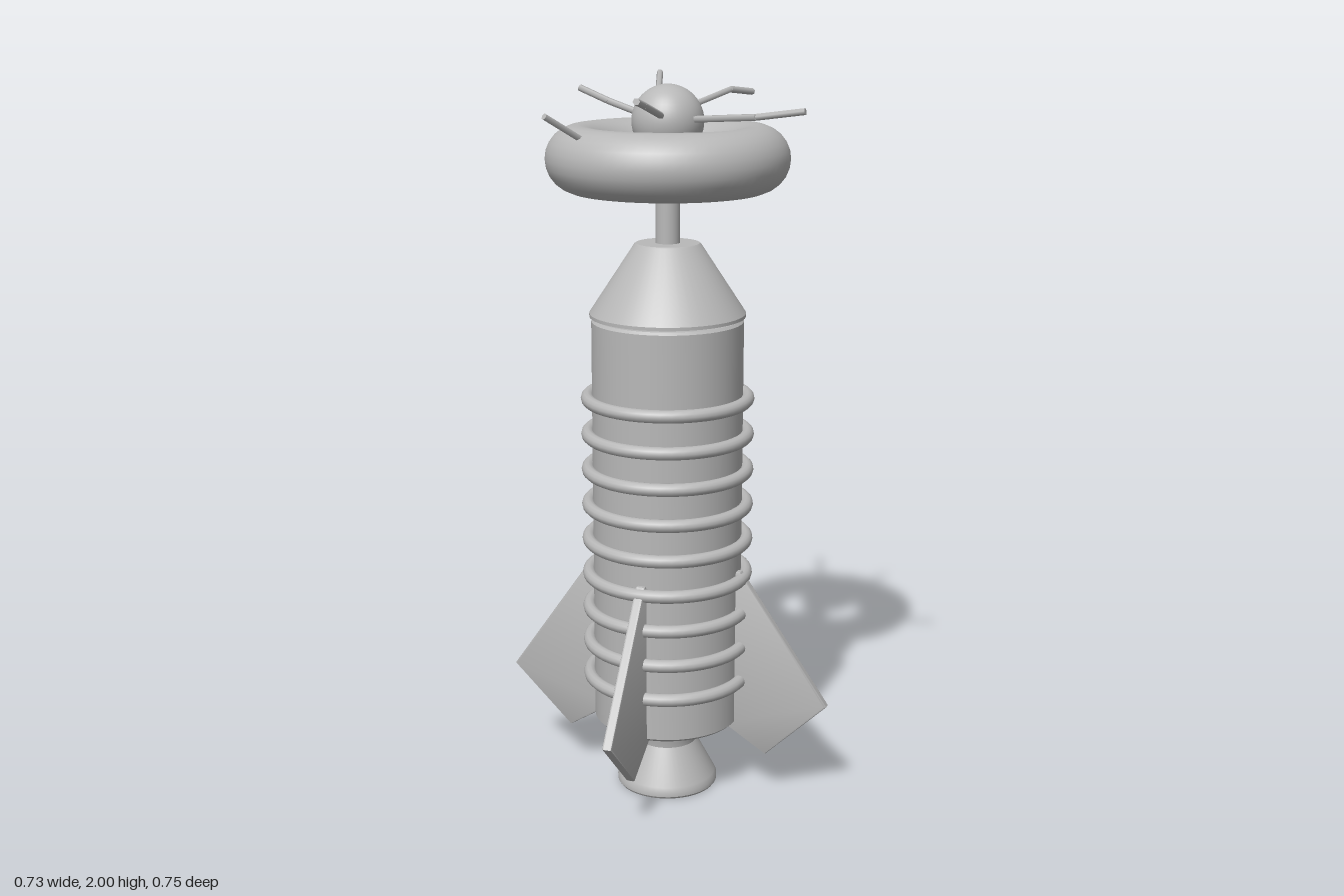
import * as THREE from 'three';
import { toCreasedNormals } from 'three/addons/utils/BufferGeometryUtils.js';

const metal = new THREE.MeshStandardMaterial({ color: 0xb8b8b8 });
metal.name = 'grey metal';

function part(name, geometry, parent) {
  const mesh = new THREE.Mesh(geometry, metal);
  mesh.name = name;
  parent.add(mesh);
  return mesh;
}

// Turned part from [radius, height] pairs, listed from bottom to top on the outside
function turned(profile, segments = 48) {
  const points = profile.map(([r, y]) => new THREE.Vector2(r, y));
  return toCreasedNormals(new THREE.LatheGeometry(points, segments), 0.5);
}

// Straight hexagonal rod between two points
function rod(name, from, to, parent) {
  const mesh = part(name, new THREE.CylinderGeometry(0.009, 0.009, from.distanceTo(to), 6), parent);
  mesh.position.copy(from).lerp(to, 0.5);
  mesh.quaternion.setFromUnitVectors(new THREE.Vector3(0, 1, 0), to.clone().sub(from).normalize());
}

export function createModel() {
  const model = new THREE.Group();
  model.name = 'rocket';

  // The rocket's axis sits slightly off centre because the antennae are uneven
  const rocket = new THREE.Group();
  rocket.name = 'rocketBody';
  rocket.position.set(0.026, 0, -0.016);
  model.add(rocket);

  // Hull, nose cone and nozzle
  part('hull', turned([[0, 0.21], [0.2, 0.21], [0.207, 0.217], [0.207, 1.36], [0.2, 1.367], [0, 1.367]]), rocket);
  part('noseCone', turned([[0, 1.373], [0.212, 1.373], [0.212, 1.382], [0.09, 1.568], [0.086, 1.571], [0, 1.571]]), rocket);
  part('nozzle', turned([
    [0, 0.1], [0.05, 0.09], [0.09, 0.065], [0.132, 0.004], [0.139, 0.004], [0.143, 0.01],
    [0.143, 0.022], [0.137, 0.035], [0.084, 0.135], [0.086, 0.15], [0.098, 0.2], [0.098, 0.212],
  ]), rocket);

  // Coil rings around the hull
  for (let i = 0; i < 9; i++) {
    const ring = part('hullRing', new THREE.TorusGeometry(0.22, 0.018, 12, 48), rocket);
    ring.rotation.x = Math.PI / 2;
    ring.position.y = 0.342 + i * 0.1005;
  }

  // Four swept fins on the diagonals
  const bevel = 0.006, depth = 0.016;
  const outline = [[0.18, 0.21], [0.297, 0.137], [0.465, 0.3], [0.215, 0.66], [0.19, 0.66]];
  const finShape = new THREE.Shape(outline.map(([r, y]) => new THREE.Vector2(r, y)));
  const finGeometry = new THREE.ExtrudeGeometry(finShape, {
    depth, bevelThickness: bevel, bevelSize: bevel, bevelSegments: 2,
  });
  finGeometry.translate(0, 0, -depth / 2);
  const fins = toCreasedNormals(finGeometry, 0.6);
  for (let i = 0; i < 4; i++) {
    part('fin', fins, rocket).rotation.y = Math.PI / 4 + i * Math.PI / 2;
  }

  // Mast, ring and ball at the top
  const mast = part('mast', new THREE.CylinderGeometry(0.033, 0.033, 0.3, 32), rocket);
  mast.position.y = 1.7;
  const halo = part('topRing', new THREE.TorusGeometry(0.237, 0.088, 24, 64), rocket);
  halo.rotation.x = Math.PI / 2;
  halo.position.y = 1.795;
  part('topBall', new THREE.SphereGeometry(0.096, 40, 24), rocket).position.y = 1.892;

  // Bent antennae: root, bend and tip of each
  const antennae = [
    [[0.066, 1.91, -0.08], [0.104, 1.96, -0.241], [0.169, 1.994, -0.373]],
    [[0.095, 1.925, -0.035], [0.245, 1.963, -0.084], [0.331, 1.952, -0.12]],
    [[0.058, 1.9, 0.052], [0.133, 1.92, 0.277], [0.22, 1.938, 0.371]],
    [[-0.018, 1.91, 0.044], [-0.157, 1.956, 0.233], [-0.225, 1.974, 0.343]],
    [[0, 1.9, -0.088], [-0.074, 1.936, -0.177], [-0.127, 1.968, -0.249]],
    [[-0.03, 1.83, 0], [-0.106, 1.78, 0.012], [-0.358, 1.924, 0.078]],
  ];
  for (const antenna of antennae) {
    const [root, bend, tip] = antenna.map((p) => new THREE.Vector3(...p));
    const group = new THREE.Group();
    group.name = 'antenna';
    rod('antennaLower', root, bend, group);
    rod('antennaUpper', bend, tip, group);
    model.add(group);
  }
  return model;
}
